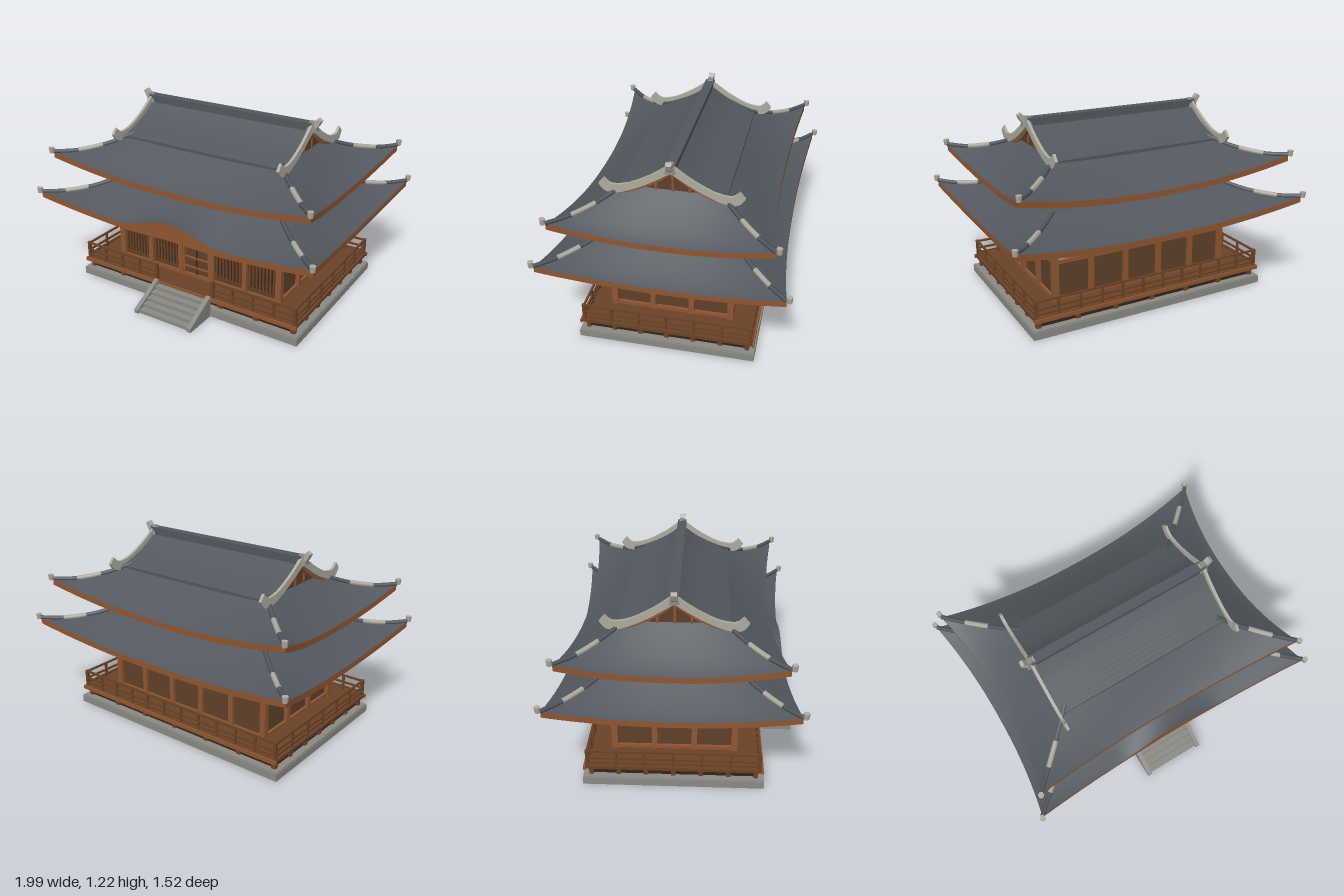
import * as THREE from 'three';

const mat = (name, color, side = THREE.FrontSide) => {
  const m = new THREE.MeshStandardMaterial({ color, side });
  m.name = name;
  return m;
};

export function createModel() {
  const slate = mat('slate tile', 0x52585e, THREE.DoubleSide);
  const wood = mat('warm timber', 0x8f5630);
  const wall = mat('brown boards', 0x5f4029);
  const deckWood = mat('deck timber', 0x6b4226);
  const dark = mat('dark timber', 0x35241a, THREE.DoubleSide);
  const plaster = mat('plaster', 0xb6b2a6);
  const stone = mat('grey stone', 0x8a8983);
  const pale = mat('pale ridge tile', 0xaeab9f);

  const model = new THREE.Group();
  model.name = 'temple';
  const group = (name, parent = model) => {
    const g = new THREE.Group();
    g.name = name;
    parent.add(g);
    return g;
  };
  const add = (parent, name, geo, m) => {
    const mesh = new THREE.Mesh(geo, m);
    mesh.name = name;
    parent.add(mesh);
    return mesh;
  };
  // Box given by its extents
  const box = (parent, name, m, x0, x1, y0, y1, z0, z1) => {
    const b = add(parent, name, new THREE.BoxGeometry(x1 - x0, y1 - y0, z1 - z0), m);
    b.position.set((x0 + x1) / 2, (y0 + y1) / 2, (z0 + z1) / 2);
    return b;
  };
  // Outline in (z, y) pushed along x
  const extrudeX = (parent, name, m, pts, x0, x1) => {
    const shape = new THREE.Shape(pts.map(([z, y]) => new THREE.Vector2(-z, y)));
    const geo = new THREE.ExtrudeGeometry(shape, { depth: x1 - x0, bevelEnabled: false });
    geo.rotateY(Math.PI / 2).translate(x0, 0, 0);
    return add(parent, name, geo, m);
  };
  // Grid surface from fn(u, v), u in -1..1, v in 0..1
  const patch = (fn, nu, nv) => {
    const pos = [], idx = [];
    for (let j = 0; j <= nv; j++)
      for (let i = 0; i <= nu; i++) pos.push(...fn(-1 + (2 * i) / nu, j / nv));
    for (let j = 0; j < nv; j++)
      for (let i = 0; i < nu; i++) {
        const a = j * (nu + 1) + i, c = a + nu + 1;
        idx.push(a, a + 1, c, a + 1, c + 1, c);
      }
    const geo = new THREE.BufferGeometry();
    geo.setAttribute('position', new THREE.Float32BufferAttribute(pos, 3));
    geo.setIndex(idx);
    geo.computeVertexNormals();
    return geo;
  };
  const lerp = THREE.MathUtils.lerp;

  // Stone base and front steps
  const base = group('stoneBase');
  box(base, 'plinth', stone, -0.82, 0.82, 0, 0.045, -0.55, 0.55);
  box(base, 'plinthCap', stone, -0.815, 0.815, 0.045, 0.052, -0.545, 0.545);
  const steps = group('steps');
  for (let i = 0; i < 5; i++)
    box(steps, 'step', stone, -0.19, 0.19, 0, 0.11 - i * 0.022, 0.53, 0.585 + i * 0.042);
  for (const s of [-1, 1])
    extrudeX(steps, 'stepCheek', stone, [[0.545, 0], [0.767, 0], [0.767, 0.025], [0.545, 0.14]], s * 0.2 - 0.015, s * 0.2 + 0.015);

  // Veranda deck on short posts
  const veranda = group('veranda');
  box(veranda, 'deck', deckWood, -0.805, 0.805, 0.105, 0.126, -0.535, 0.535);
  box(veranda, 'underDeck', dark, -0.77, 0.77, 0.05, 0.105, -0.5, 0.5);
  for (const s of [-1, 1]) {
    box(veranda, 'deckEdge', wood, -0.81, 0.81, 0.1, 0.124, s * 0.54 - 0.006, s * 0.54 + 0.006);
    for (let i = -3; i <= 3; i++) {
      box(veranda, 'deckPost', deckWood, i * 0.258 - 0.014, i * 0.258 + 0.014, 0.05, 0.105, s * 0.5 - 0.012, s * 0.5 + 0.012);
      box(veranda, 'deckPost', deckWood, s * 0.77 - 0.012, s * 0.77 + 0.012, 0.05, 0.105, i * 0.167 - 0.014, i * 0.167 + 0.014);
    }
  }

  // Railing runs, open in front of the steps
  const railing = group('railing');
  const railRun = (x0, z0, x1, z1, n) => {
    const w = 0.006, ex = x0 === x1 ? w : 0.012, ez = z0 === z1 ? w : 0.012;
    for (const y of [0.145, 0.178, 0.228])
      box(railing, 'rail', deckWood, x0 - ex, x1 + ex, y - w, y + w, z0 - ez, z1 + ez);
    for (let i = 0; i <= n; i++) {
      const x = lerp(x0, x1, i / n), z = lerp(z0, z1, i / n);
      const end = i === 0 || i === n;
      const r = end ? 0.01 : 0.007;
      box(railing, 'railPost', deckWood, x - r, x + r, 0.126, end ? 0.236 : 0.225, z - r, z + r);
    }
  };
  railRun(-0.79, 0.52, -0.215, 0.52, 4);
  railRun(0.215, 0.52, 0.79, 0.52, 4);
  railRun(-0.79, -0.52, 0.79, -0.52, 11);
  for (const s of [-1, 1]) railRun(s * 0.79, -0.52, s * 0.79, 0.52, 6);

  // Main hall: each facade is built facing +z, then turned
  const hall = group('mainHall');
  box(hall, 'hallCore', wall, -0.595, 0.595, 0.12, 0.58, -0.37, 0.37);
  const facade = (name, half, d, bays, turn, front) => {
    const g = group(name, hall);
    g.rotation.y = turn * Math.PI / 2;
    const pitch = (2 * half) / bays;
    for (let i = 0; i <= bays; i++) {
      const x = -half + i * pitch;
      box(g, 'column', wood, x - 0.017, x + 0.017, 0.126, 0.56, d - 0.02, d + 0.018);
    }
    for (const [y0, y1] of [[0.126, 0.148], [0.366, 0.39], [0.466, 0.492], [0.52, 0.56]])
      box(g, 'beam', wood, -half, half, y0, y1, d - 0.01, d + 0.011);
    box(g, 'frieze', dark, -half, half, 0.492, 0.52, d - 0.005, d + 0.003);
    for (let i = 0; i < bays; i++) {
      const a = -half + i * pitch + 0.024, b = a + pitch - 0.048;
      box(g, 'plasterPanel', plaster, a, b, 0.393, 0.463, d - 0.004, d + 0.005);
      if (!front) continue;
      if (i === 2) {
        // Double door
        for (const s of [-1, 1]) box(g, 'doorStile', wood, s * 0.098 - 0.008, s * 0.098 + 0.008, 0.126, 0.366, d, d + 0.012);
        box(g, 'doorGap', dark, -0.003, 0.003, 0.148, 0.34, d, d + 0.007);
        for (const y of [0.195, 0.265, 0.342]) box(g, 'doorRail', wood, -0.1, 0.1, y - 0.005, y + 0.005, d, d + 0.009);
      } else {
        // Barred window
        box(g, 'windowDark', dark, a, b, 0.185, 0.362, d - 0.004, d + 0.003);
        for (let k = 0; k < 8; k++) {
          const x = lerp(a, b, (k + 0.5) / 8);
          box(g, 'windowBar', deckWood, x - 0.006, x + 0.006, 0.185, 0.364, d, d + 0.011);
        }
      }
    }
  };
  facade('frontWall', 0.605, 0.372, 5, 0, true);
  facade('leftWall', 0.37, 0.602, 3, 1, false);
  facade('backWall', 0.605, 0.372, 5, 2, false);
  facade('rightWall', 0.37, 0.602, 3, 3, false);

  // Upper storey
  const upper = group('upperStorey');
  box(upper, 'upperWall', plaster, -0.5, 0.5, 0.68, 0.83, -0.3, 0.3);
  for (const s of [-1, 1]) {
    for (let i = -3; i <= 3; i++)
      box(upper, 'upperColumn', wood, i * 0.166 - 0.013, i * 0.166 + 0.013, 0.69, 0.82, s * 0.3 - 0.01, s * 0.3 + 0.01);
    box(upper, 'upperBeam', wood, -0.505, 0.505, 0.765, 0.82, s * 0.3 - 0.008, s * 0.3 + 0.008);
    box(upper, 'upperBeam', wood, s * 0.5 - 0.008, s * 0.5 + 0.008, 0.765, 0.82, -0.305, 0.305);
  }

  // Sweeping hipped roof with upturned corners; bump swells the front eave
  const hipRoof = (name, { mid, corner, inner, ye, yi, lift, soffitY, bump }) => {
    const g = group(name), h = 0.037;
    for (let k = 0; k < 4; k++) {
      const o = k % 2, p = 1 - o; // index along the eave and out from it
      const side = group('roofSide', g);
      side.rotation.y = k * Math.PI / 2;
      const at = (u, t) => {
        const c = Math.abs(u) ** 2.2;
        return [u * lerp(corner[o], inner[o], t), lerp(mid[p] + (corner[p] - mid[p]) * c, inner[p], t), lift * c * (1 - t) ** 1.7];
      };
      const swell = (x, t) => k === 0 && Math.abs(x) < 0.39
        ? bump * Math.cos(Math.PI * x / 0.78) ** 2 * (1 - t) ** 1.5 : 0;
      add(side, 'tiles', patch((u, t) => {
        const [x, z, l] = at(u, t);
        return [x, lerp(ye, yi, t ** 1.2) + l + swell(x, t), z];
      }, 56, 12), slate);
      add(side, 'eaveBoard', patch((u, v) => {
        const [x, z, l] = at(u, 0), b = swell(x, 0);
        return [x, ye + l + lerp(0.15 * b - h, b, v), z];
      }, 56, 1), wood);
      add(side, 'soffit', patch((u, t) => {
        const [x, z, l] = at(-u, t);
        return [x, lerp(ye - h, soffitY, t) + l + 0.15 * swell(x, t), z];
      }, 56, 6), dark);
    }
    // Hip ridges and corner finials
    const hipPoint = (t, sx, sz) => new THREE.Vector3(
      sx * lerp(corner[0], inner[0], t), lerp(ye, yi, t ** 1.2) + lift * (1 - t) ** 1.7 + 0.006, sz * lerp(corner[1], inner[1], t));
    const tube = (t0, t1, r, sx, sz) => new THREE.TubeGeometry(
      new THREE.CatmullRomCurve3([0, 1, 2, 3, 4].map(i => hipPoint(lerp(t0, t1, i / 4), sx, sz))), 14, r, 6);
    for (const sx of [-1, 1]) for (const sz of [-1, 1]) {
      add(g, 'hipRidge', tube(0, 1, 0.014, sx, sz), slate);
      add(g, 'hipRidgeCap', tube(0.3, 0.6, 0.0165, sx, sz), pale);
      const f = add(g, 'cornerFinial', new THREE.CylinderGeometry(0.019, 0.016, 0.036, 6), pale);
      f.position.copy(hipPoint(0, sx, sz)).add(new THREE.Vector3(sx * 0.003, 0.012, sz * 0.014));
    }
    return g;
  };
  const lower = hipRoof('lowerRoof', {
    mid: [0.915, 0.668], corner: [0.978, 0.722], inner: [0.61, 0.385],
    ye: 0.545, yi: 0.7, lift: 0.095, soffitY: 0.565, bump: 0.09,
  });
  box(lower, 'roofTop', slate, -0.61, 0.61, 0.68, 0.7, -0.385, 0.385);
  const top = hipRoof('upperRoof', {
    mid: [0.845, 0.585], corner: [0.915, 0.645], inner: [0.54, 0.28],
    ye: 0.797, yi: 0.995, lift: 0.108, soffitY: 0.82, bump: 0,
  });

  // Gabled crown of the upper roof
  const curve = pts => new THREE.SplineCurve(pts.map(p => new THREE.Vector2(...p))).getPoints(14).map(p => [p.x, p.y]);
  const mirrored = half => [...half.slice(1).reverse().map(([z, y]) => [-z, y]), ...half];
  const line = mirrored(curve([[0, 1.155], [0.1, 1.08], [0.2, 1.03], [0.32, 0.985]]));
  const drop = d => line.map(([z, y]) => [z, y - d]).reverse();
  extrudeX(top, 'gableRoof', slate, [...line, ...drop(0.02)], -0.59, 0.59);
  const vergeTop = mirrored(curve([[0, 1.19], [0.08, 1.13], [0.15, 1.085], [0.25, 1.035], [0.33, 1.018], [0.365, 1.025], [0.397, 1.055]]));
  const vergeLow = mirrored(curve([[0, 1.13], [0.1, 1.065], [0.2, 1.01], [0.3, 0.97], [0.36, 0.962], [0.4, 0.975], [0.43, 1.015]])).reverse();
  for (const s of [-1, 1]) {
    extrudeX(top, 'vergeRidge', pale, [...vergeTop, ...vergeLow], s * 0.597 - 0.009, s * 0.597 + 0.009);
    extrudeX(top, 'bargeBoard', wood, [...drop(0.015).reverse(), ...drop(0.04)], s * 0.583 - 0.006, s * 0.583 + 0.006);
    extrudeX(top, 'gableWall', wall, [...drop(0.015).reverse(), [0.3, 0.95], [-0.3, 0.95]], s * 0.54 - 0.01, s * 0.54 + 0.01);
    for (const [z, y] of [[0, 1.13], [0.1, 1.055], [-0.1, 1.055]])
      box(top, 'gableStrut', wood, s * 0.55 - 0.006, s * 0.55 + 0.006, 0.97, y, z - 0.007, z + 0.007);

    // Ridge-end ornament
    const horn = new THREE.Shape([[0.57, 1.135], [0.61, 1.14], [0.64, 1.17], [0.658, 1.205], [0.636, 1.22], [0.612, 1.187], [0.57, 1.187]]
      .map(([x, y]) => new THREE.Vector2(x, y)));
    const hornGeo = new THREE.ExtrudeGeometry(horn, { depth: 0.036, bevelEnabled: false }).translate(0, 0, -0.018);
    add(top, 'ridgeHorn', hornGeo, pale).rotation.y = s > 0 ? 0 : Math.PI;
    const block = add(top, 'ridgeEnd', new THREE.CylinderGeometry(0.024, 0.042, 0.06, 4, 1).rotateY(Math.PI / 4), stone);
    block.position.set(s * 0.598, 1.165, 0);
  }
  box(top, 'mainRidge', slate, -0.595, 0.595, 1.12, 1.178, -0.024, 0.024);
  box(top, 'ridgeCap', slate, -0.6, 0.6, 1.178, 1.187, -0.03, 0.03);

  return model;
}
